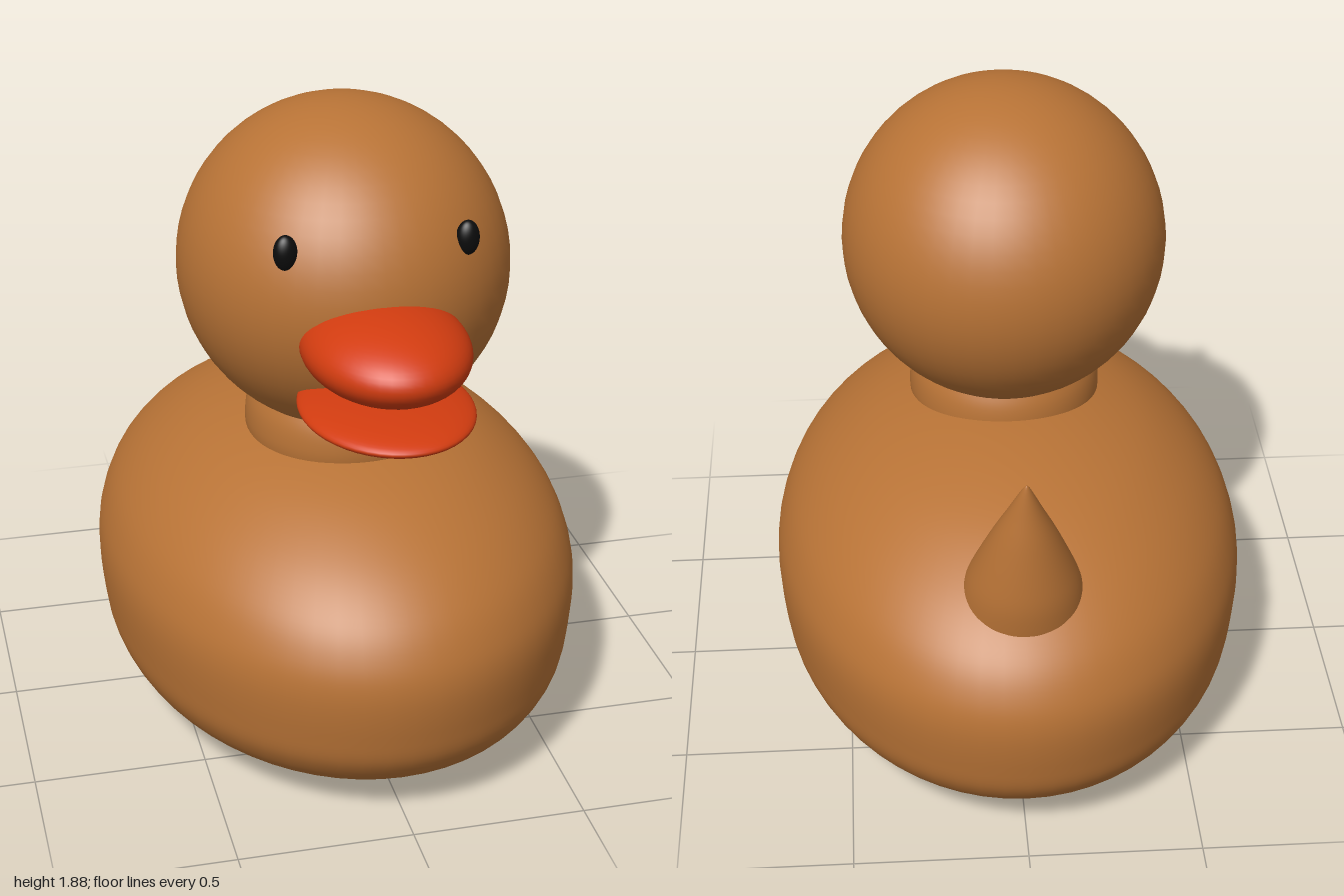
import * as THREE from 'three';

const plumage = new THREE.MeshStandardMaterial({ color: 0xb87336 });
plumage.name = 'copper brown';
const beakRed = new THREE.MeshStandardMaterial({ color: 0xd23c10 });
beakRed.name = 'orange red';
const eyeBlack = new THREE.MeshStandardMaterial({ color: 0x0c0c0c });
eyeBlack.name = 'black';

// Smooth lathe through a few [radius, y] points
function turned(points, steps) {
  const curve = new THREE.SplineCurve(points.map(([r, y]) => new THREE.Vector2(r, y)));
  const profile = curve.getPoints(steps);
  profile.forEach((p) => { p.x = Math.max(p.x, 0); });
  return new THREE.LatheGeometry(profile, 64);
}

export function createModel() {
  const group = new THREE.Group();

  function add(name, geometry, material) {
    const mesh = new THREE.Mesh(geometry, material);
    mesh.name = name;
    group.add(mesh);
    return mesh;
  }

  function ellipsoid(name, material, center, radii) {
    const mesh = add(name, new THREE.SphereGeometry(1, 48, 32), material);
    mesh.position.set(...center);
    mesh.scale.set(...radii);
    return mesh;
  }

  // Oval body with a flat underside
  const body = turned([
    [0, 0], [0.25, 0], [0.48, 0.003], [0.7, 0.035], [0.87, 0.105], [0.96, 0.2],
    [0.99, 0.31], [1, 0.44], [0.975, 0.54], [0.91, 0.64], [0.79, 0.74],
    [0.62, 0.83], [0.43, 0.891], [0.22, 0.93], [0, 0.945],
  ], 90);
  body.scale(0.71, 1, 1);
  add('body', body, plumage);

  // Slightly bulging neck
  const neck = turned([[0.27, 0.8], [0.288, 0.88], [0.29, 0.93], [0.282, 0.98], [0.262, 1.03]], 16);
  neck.scale(0.99, 1, 1.03).translate(0, 0, 0.14);
  add('neck', neck, plumage);

  ellipsoid('head', plumage, [0, 1.402, 0.14], [0.478, 0.478, 0.508]);

  // Bill
  ellipsoid('upperBeak', beakRed, [0, 1.33, 0.63], [0.23, 0.12, 0.312]);
  ellipsoid('lowerBeak', beakRed, [0, 1.161, 0.645], [0.24, 0.046, 0.315]);

  // Eyes
  for (const side of [1, -1]) {
    ellipsoid(side > 0 ? 'leftEye' : 'rightEye', eyeBlack,
      [side * 0.253, 1.587, 0.535], [0.033, 0.05, 0.027]);
  }

  // Pointed tail leaning backwards
  const tail = turned([
    [0.185, 0.64], [0.177, 0.7], [0.163, 0.77], [0.138, 0.845], [0.091, 0.965],
    [0.049, 1.06], [0.012, 1.145], [0, 1.162],
  ], 32);
  const p = tail.attributes.position;
  for (let i = 0; i < p.count; i++) p.setZ(i, p.getZ(i) - 0.69 - 0.3 * (p.getY(i) - 0.7));
  tail.computeVertexNormals();
  add('tail', tail, plumage);

  return group;
}
